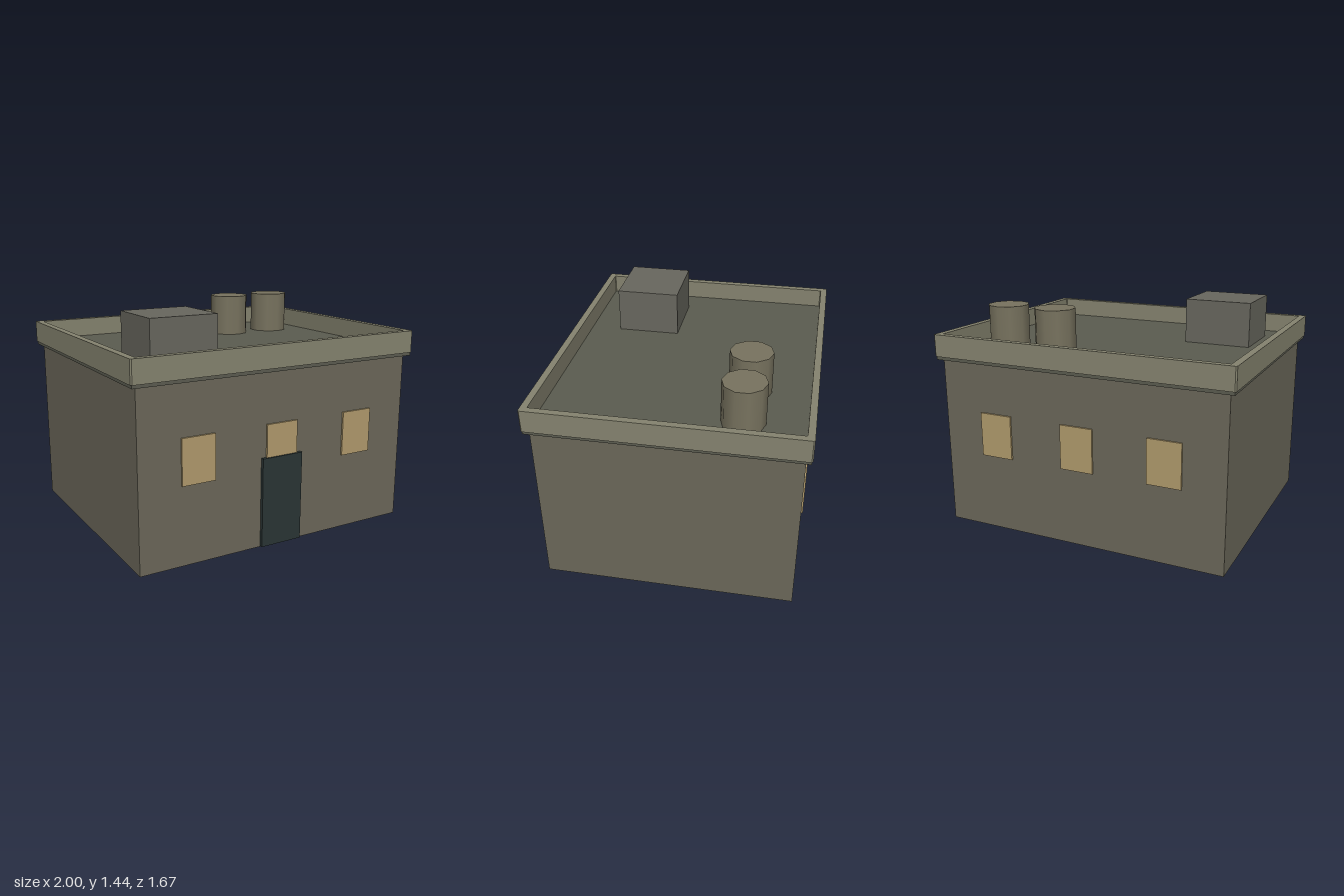
import * as THREE from 'three';

const material = (color) => new THREE.MeshStandardMaterial({ color });

// Rectangle outline centred on the origin with small cut corners
function outline(target, hx, hz, cut) {
  const corners = [
    [hx - cut, -hz], [hx, -hz + cut], [hx, hz - cut], [hx - cut, hz],
    [-hx + cut, hz], [-hx, hz - cut], [-hx, -hz + cut], [-hx + cut, -hz],
  ];
  return target.setFromPoints(corners.map(([x, y]) => new THREE.Vector2(x, y)));
}

export function createModel() {
  const model = new THREE.Group();
  const wall = material(0x6b6759);
  const trim = material(0x85836f);
  const roof = material(0x5b5c50);
  const glow = material(0xb09a6c);
  const dark = material(0x2a3535);
  const metal = material(0x68675e);
  const tankPaint = material(0x78735f);

  const add = (name, geometry, mat) => {
    const mesh = new THREE.Mesh(geometry, mat);
    mesh.name = name;
    model.add(mesh);
    return mesh;
  };

  // Box given by its lowest and highest corners
  const box = (name, mat, [x0, y0, z0], [x1, y1, z1]) => {
    const mesh = add(name, new THREE.BoxGeometry(x1 - x0, y1 - y0, z1 - z0), mat);
    mesh.position.set((x0 + x1) / 2, (y0 + y1) / 2, (z0 + z1) / 2);
  };

  // Main block and roof slab
  box('walls', wall, [-0.96, 0, -0.8], [0.96, 1.12, 0.8]);
  box('roofSlab', roof, [-0.992, 1.11, -0.83], [0.992, 1.15, 0.83]);

  // Parapet ring around the roof
  const ring = outline(new THREE.Shape(), 1, 0.837, 0.008);
  ring.holes.push(outline(new THREE.Path(), 0.956, 0.794, 0.004));
  const parapetGeometry = new THREE.ExtrudeGeometry(ring, { depth: 0.143, bevelEnabled: false });
  parapetGeometry.rotateX(-Math.PI / 2);
  add('parapet', parapetGeometry, trim).position.y = 1.131;

  // Door and the windows on front and back
  box('door', dark, [-0.144, 0.005, 0.78], [0.144, 0.578, 0.822]);
  for (const side of [1, -1]) {
    for (const x of [-0.578, 0, 0.578]) {
      const z = side * 0.8;
      box(side > 0 ? 'frontWindow' : 'backWindow', glow,
        [x - 0.11, 0.5, z - 0.012], [x + 0.11, 0.787, z + 0.012]);
    }
  }

  // Rooftop unit and the two tanks
  box('rooftopUnit', metal, [-0.77, 1.15, 0.176], [-0.325, 1.443, 0.59]);
  for (const x of [0.35, 0.702]) {
    add('tank', new THREE.CylinderGeometry(0.135, 0.135, 0.28, 10), tankPaint)
      .position.set(x, 1.288, -0.418);
  }

  return model;
}
